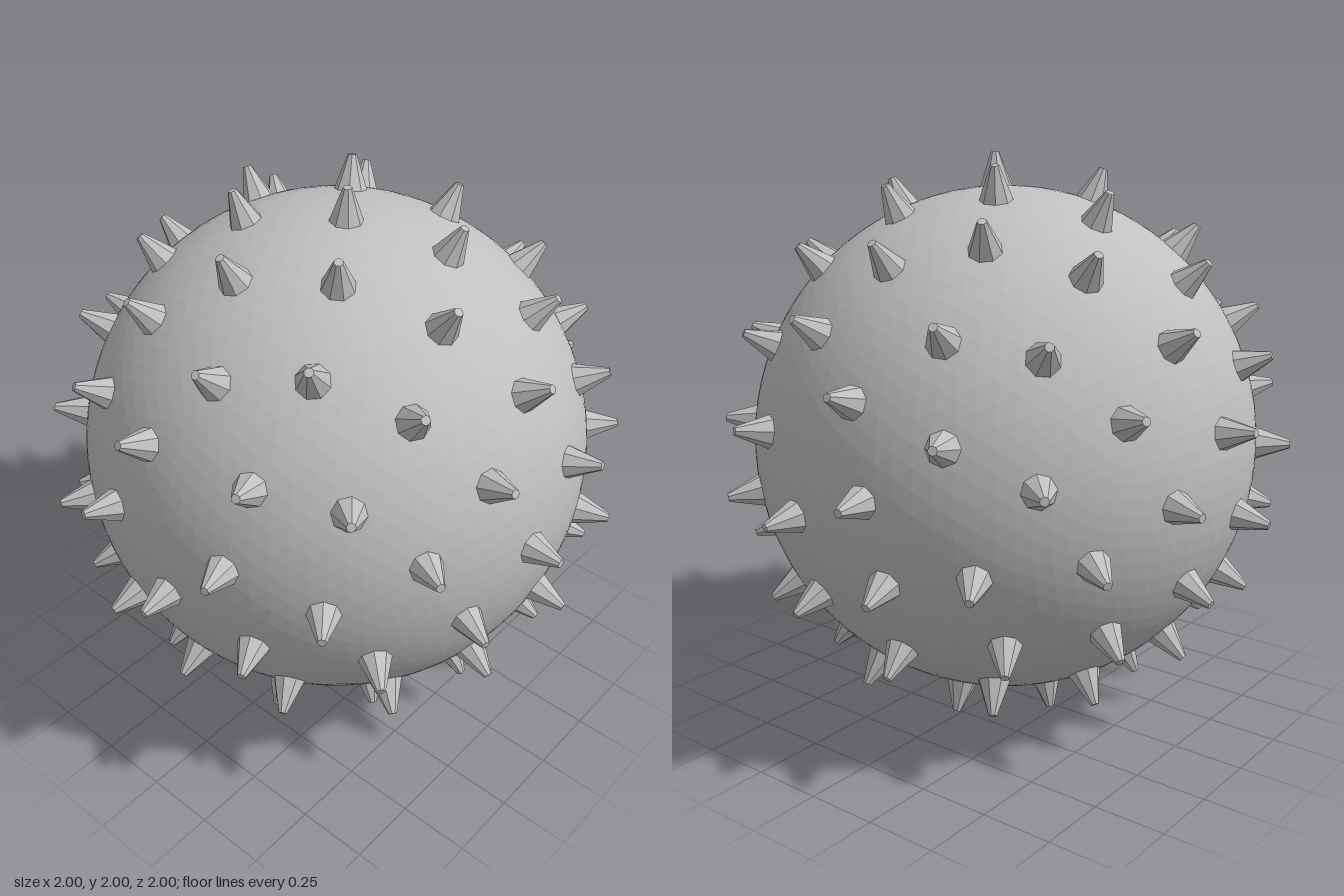
import * as THREE from 'three';

const BODY_RADIUS = 0.893;
const SPIKE_COUNT = 96;
const SPIKE_BASE = 0.875; // spikes start just under the skin
const SPIKE_TIP = 1.007;

// Evenly spread directions on a golden-angle spiral running from front to back
function spikeDirection(i) {
  const z = 1 - (2 * i + 1) / SPIKE_COUNT;
  const r = Math.sqrt(1 - z * z);
  const angle = Math.PI * (1 + Math.sqrt(5)) * (i + 0.5);
  return new THREE.Vector3(r * Math.cos(angle), r * Math.sin(angle), z);
}

export function createModel() {
  const model = new THREE.Group();
  model.name = 'spikyBall';
  const grey = new THREE.MeshStandardMaterial({ color: 0xc0c0c0, flatShading: true });
  grey.name = 'grey';

  // The ball sits slightly off centre because the spikes reach unevenly
  const ball = new THREE.Group();
  ball.name = 'ball';
  ball.position.set(-0.007, 1.002, 0);
  model.add(ball);

  // Finely faceted body
  const body = new THREE.Mesh(new THREE.IcosahedronGeometry(BODY_RADIUS, 15), grey);
  body.name = 'body';
  ball.add(body);

  // Blunt eight-sided spike, base at the origin and pointing along +z
  const length = SPIKE_TIP - SPIKE_BASE;
  const spikeGeometry = new THREE.CylinderGeometry(0.015, 0.062, length, 8);
  spikeGeometry.translate(0, length / 2, 0);
  spikeGeometry.rotateX(Math.PI / 2);

  const spikes = new THREE.Group();
  spikes.name = 'spikes';
  const forward = new THREE.Vector3(0, 0, 1);
  for (let i = 0; i < SPIKE_COUNT; i++) {
    const direction = spikeDirection(i);
    const spike = new THREE.Mesh(spikeGeometry, grey);
    spike.name = 'spike';
    spike.quaternion.setFromUnitVectors(forward, direction);
    spike.position.copy(direction).multiplyScalar(SPIKE_BASE);
    spikes.add(spike);
  }
  ball.add(spikes);
  return model;
}
